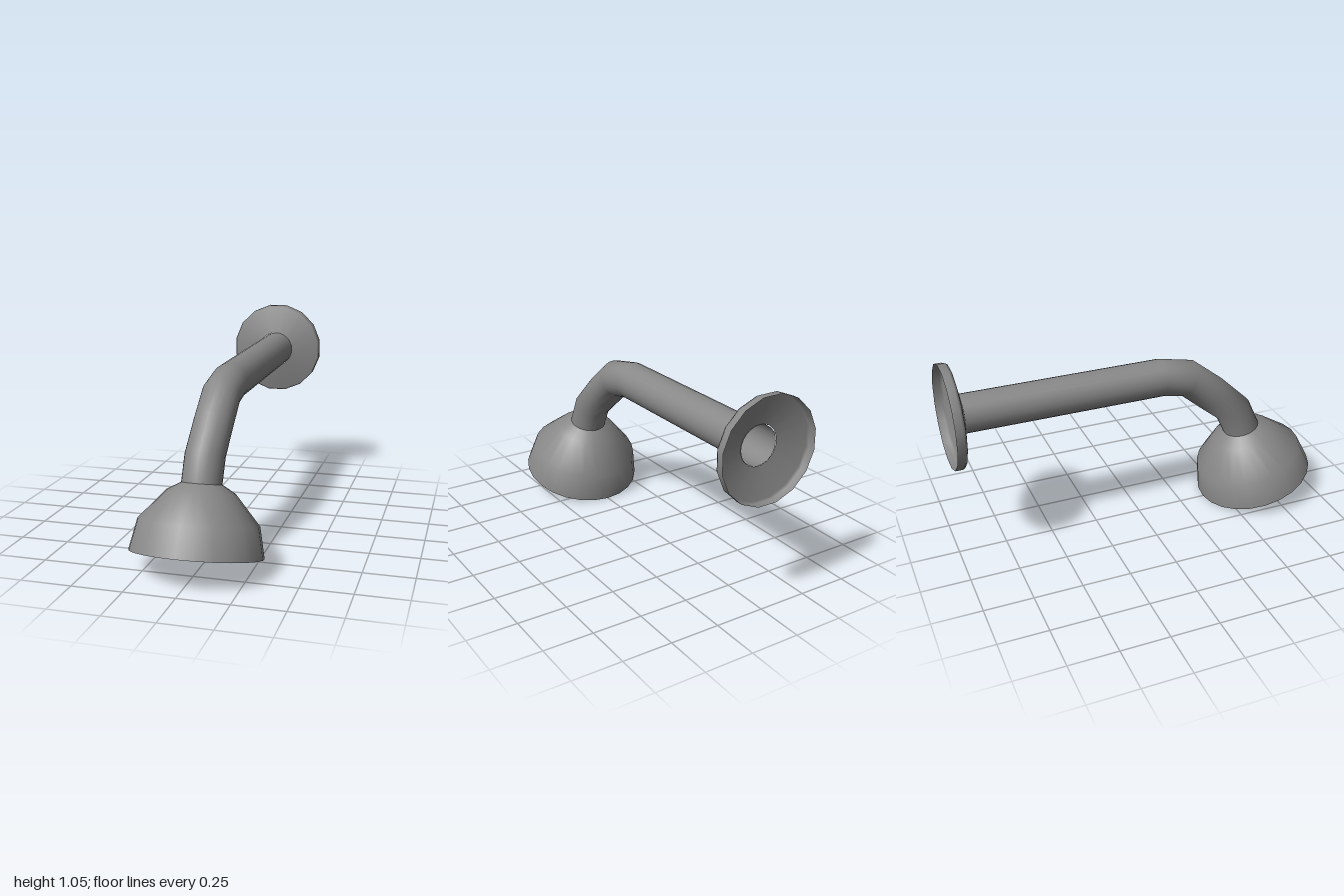
import * as THREE from 'three';

const material = new THREE.MeshStandardMaterial({ color: 0x888888, side: THREE.DoubleSide });

function addMesh(parent, name, geometry) {
  const mesh = new THREE.Mesh(geometry, material);
  mesh.name = name;
  parent.add(mesh);
  return mesh;
}

const profile = (pairs) => pairs.map(([r, y]) => new THREE.Vector2(r, y));

// Bent pipe: every row of an open cylinder is moved onto a station [z, y, tilt in degrees]
function bentPipe(radius, stations, sides) {
  const rows = stations.length - 1;
  const geometry = new THREE.CylinderGeometry(radius, radius, rows, sides, rows, true);
  const position = geometry.attributes.position;
  const normal = geometry.attributes.normal;
  for (let i = 0; i < position.count; i++) {
    const [z, y, degrees] = stations[Math.round(position.getY(i) + rows / 2)];
    const tilt = THREE.MathUtils.degToRad(degrees);
    const up = -position.getZ(i);
    const oy = up * Math.cos(tilt), oz = up * Math.sin(tilt);
    normal.setXYZ(i, position.getX(i) / radius, oy / radius, oz / radius);
    position.setXYZ(i, position.getX(i), y + oy, z + oz);
  }
  return geometry;
}

export function createModel() {
  const model = new THREE.Group();
  model.name = 'showerHead';

  // Hollow wall flange, open at the back, with a hole for the pipe
  const flange = addMesh(model, 'wallFlange', new THREE.LatheGeometry(
    profile([[0.261, 0], [0.261, 0.037], [0.254, 0.05], [0.1, 0.08]]), 16, Math.PI / 16));
  flange.rotation.x = Math.PI / 2;
  flange.position.set(-0.004, 0.795, -1);

  // Arm: long straight run, then a faceted bend down into the head
  addMesh(model, 'arm', bentPipe(0.097, [
    [-0.925, 0.796, 0],
    [0.12, 0.796, 0],
    [0.27, 0.765, 25],
    [0.405, 0.655, 43],
    [0.545, 0.53, 64],
    [0.604, 0.405, 73],
  ], 24));

  // Tilted bell-shaped head with a flat spray face
  const head = new THREE.Group();
  head.name = 'head';
  head.position.set(0, 0.094, 0.694);
  head.rotation.x = -0.287;
  model.add(head);
  addMesh(head, 'bell', new THREE.LatheGeometry(
    profile([[0.319, 0], [0.288, 0.148], [0.162, 0.292], [0.09, 0.334]]), 24));
  const face = addMesh(head, 'sprayFace', new THREE.CircleGeometry(0.319, 24));
  face.rotation.x = Math.PI / 2;

  return model;
}
